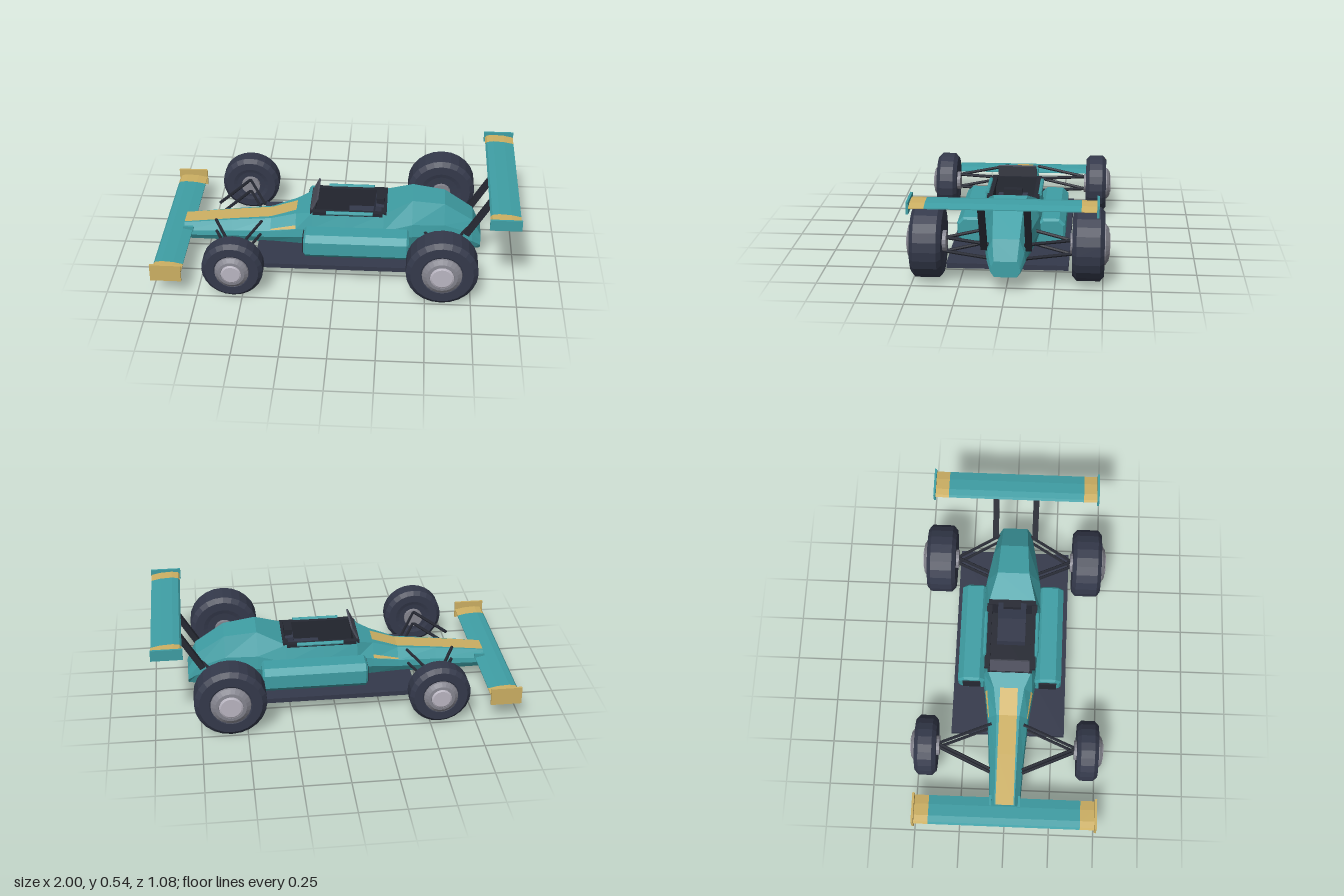
import * as THREE from 'three';

const mat = (name, color) => {
  const m = new THREE.MeshStandardMaterial({ color, flatShading: true });
  m.name = name;
  return m;
};

export function createModel() {
  const car = new THREE.Group();
  car.name = 'racingCar';
  const teal = mat('teal paint', 0x3f9fa5);
  const gold = mat('gold paint', 0xcdb063);
  const rubber = mat('dark rubber and floor', 0x34394b);
  const black = mat('black trim', 0x262933);
  const grey = mat('rim grey', 0x85858f);
  const silver = mat('hub silver', 0xbab6c2);
  const glass = mat('windscreen grey', 0x4d4f5c);

  const add = (name, geo, material, x = 0, y = 0, z = 0, parent = car) => {
    const m = new THREE.Mesh(geo, material);
    m.name = name;
    m.position.set(x, y, z);
    parent.add(m);
    return m;
  };
  const box = (name, w, h, d, material, x, y, z) =>
    add(name, new THREE.BoxGeometry(w, h, d), material, x, y, z);
  const rod = (name, a, b, r, material, sides = 8) => {
    const p = new THREE.Vector3(...a), q = new THREE.Vector3(...b);
    const dir = q.clone().sub(p);
    const m = add(name, new THREE.CylinderGeometry(r, r, dir.length(), sides), material);
    m.position.copy(p).add(q).multiplyScalar(0.5);
    m.quaternion.setFromUnitVectors(new THREE.Vector3(0, 1, 0), dir.normalize());
    return m;
  };
  // polygons given as corner lists, counter-clockwise from outside
  const polys = (list) => {
    const pos = [];
    for (const c of list)
      for (let i = 1; i < c.length - 1; i++) pos.push(...c[0], ...c[i], ...c[i + 1]);
    const g = new THREE.BufferGeometry();
    g.setAttribute('position', new THREE.Float32BufferAttribute(pos, 3));
    g.computeVertexNormals();
    return g;
  };

  // body shell lofted along x: [x, bottom, top, half width, top half width]
  const stations = [
    [-0.88, 0.085, 0.185, 0.085, 0.055], [-0.6, 0.09, 0.218, 0.1, 0.06],
    [-0.38, 0.095, 0.24, 0.118, 0.065], [-0.235, 0.1, 0.29, 0.138, 0.085],
    [-0.14, 0.1, 0.325, 0.155, 0.125], [0.05, 0.1, 0.33, 0.17, 0.135],
    [0.26, 0.1, 0.335, 0.175, 0.135], [0.42, 0.1, 0.402, 0.16, 0.09],
    [0.6, 0.1, 0.38, 0.128, 0.078], [0.76, 0.09, 0.275, 0.1, 0.07],
    [0.81, 0.085, 0.17, 0.078, 0.06],
  ];
  const rings = stations.map(([x, y0, y1, w, t]) => {
    const h = y1 - y0;
    const half = [[0.75 * w, y0], [w, y0 + 0.35 * h], [0.95 * w, y0 + 0.6 * h], [t, y1]];
    return [...half.map(([z, y]) => [x, y, z]), ...half.reverse().map(([z, y]) => [x, y, -z])];
  });
  const faces = [rings[0], [...rings.at(-1)].reverse()];
  for (let s = 0; s < rings.length - 1; s++)
    for (let i = 0; i < 8; i++) {
      if (i === 3 && (s === 4 || s === 5)) continue; // cockpit opening
      const j = (i + 1) % 8;
      faces.push([rings[s][i], rings[s + 1][i], rings[s + 1][j], rings[s][j]]);
    }
  add('bodyShell', polys(faces), teal);

  // painted nose stripe and side flashes, just above the shell
  const stripe = [];
  for (let s = 0; s < 3; s++) {
    const [xa, , ya] = stations[s], [xb, , yb] = stations[s + 1];
    stripe.push([[xa, ya + 0.003, 0.05], [xb, yb + 0.003, 0.05],
      [xb, yb + 0.003, -0.05], [xa, ya + 0.003, -0.05]]);
  }
  add('noseStripe', polys(stripe), gold);
  const onSide = (s, t) => rings[s][2].map((v, k) => v + (rings[s][3][k] - v) * t + (k ? 0.003 : 0));
  const flash = [onSide(2, 0.06), onSide(3, 0), onSide(3, 0.24), onSide(2, 0.16)];
  add('sideFlashLeft', polys([flash]), gold);
  add('sideFlashRight', polys([flash.map(([x, y, z]) => [x, y, -z]).reverse()]), gold);

  // cockpit: inward-facing tub, seat, rails and windscreen
  add('cockpitTub', new THREE.BoxGeometry(0.4, 0.15, 0.254).scale(1, 1, -1), black, 0.06, 0.256, 0);
  box('seatBase', 0.18, 0.06, 0.16, rubber, 0.15, 0.22, 0);
  box('seatBack', 0.045, 0.16, 0.16, rubber, 0.225, 0.27, 0).rotation.z = -0.15;
  box('headrest', 0.045, 0.045, 0.1, black, 0.24, 0.36, 0);
  box('cockpitRearRim', 0.03, 0.025, 0.27, black, 0.262, 0.333, 0);
  box('cockpitFrontRim', 0.03, 0.02, 0.25, black, -0.138, 0.326, 0);
  box('windscreen', 0.01, 0.09, 0.22, glass, -0.13, 0.367, 0).rotation.z = -0.45;
  for (const s of [1, -1]) {
    box('cockpitSideRim', 0.39, 0.02, 0.03, black, 0.06, 0.331, s * 0.128);
    rod('cockpitRail', [-0.06, 0.34, s * 0.146], [0.2, 0.34, s * 0.146], 0.011, teal);
  }

  box('floor', 1.13, 0.027, 0.64, rubber, 0.115, 0.092, 0);

  // chamfered side pods with a dark inlet at the front
  const podShape = (y0, y1, z0, z1, c) => new THREE.Shape([
    [z0, y0], [z1 - c, y0], [z1, y0 + c], [z1, y1 - c], [z1 - c, y1], [z0 + c, y1], [z0, y1 - c],
  ].map(([z, y]) => new THREE.Vector2(z, y)));
  for (const s of [1, -1]) {
    const geo = new THREE.ExtrudeGeometry(podShape(0.135, 0.252, -0.065, 0.065, 0.025),
      { depth: 0.56, bevelThickness: 0.012, bevelSize: 0.012, bevelSegments: 1 });
    const pod = add('sidePod', geo, teal, s > 0 ? 0.38 + 0.013 : -0.17, 0, s * 0.216);
    // extrusion axis turned onto x, chamfered side outward
    pod.rotation.y = s > 0 ? -Math.PI / 2 : Math.PI / 2;
    if (s > 0) pod.position.x = 0.393;
    box('podInlet', 0.008, 0.085, 0.1, black, -0.183, 0.193, s * 0.216);
  }

  // wings: faceted aerofoil in painted sections, with end plates
  const wing = (name, x, y, span, tip, plateH, plateMat) => {
    const foil = new THREE.Shape([[-0.08, 0], [-0.055, -0.013], [0.02, -0.017], [0.083, -0.002],
      [0.083, 0.003], [0.03, 0.014], [-0.035, 0.018], [-0.07, 0.012]]
      .map(([a, b]) => new THREE.Vector2(a, b)));
    const section = (part, z0, z1, m) => add(name + part,
      new THREE.ExtrudeGeometry(foil, { depth: z1 - z0, bevelEnabled: false }), m, x, y, z0);
    section('Plane', -tip, tip, teal);
    section('LeftTip', tip, span, gold);
    section('RightTip', -span, -tip, gold);
    for (const s of [1, -1])
      box(name + 'EndPlate', 0.17, plateH, 0.012, plateMat, x, y + 0.001, s * span);
  };
  wing('frontWing', -0.915, 0.149, 0.505, 0.42, 0.1, gold);
  wing('rearWing', 0.911, 0.509, 0.47, 0.388, 0.062, teal);

  for (const s of [1, -1]) {
    const strut = box('rearWingStrut', 0.032, 0.33, 0.034, black, 0.81, 0.355, s * 0.116);
    strut.rotation.z = -0.53;
    box('frontWingMount', 0.06, 0.03, 0.012, teal, -0.855, 0.16, s * 0.08);
  }

  // wheels: tyre, stepped rim, bright hub and inner bearing
  const lathe = (pts) => new THREE.LatheGeometry(pts.map(([r, y]) => new THREE.Vector2(r, y)), 24);
  const wheel = (name, x, y, z, R, hw, s) => {
    const g = new THREE.Group();
    g.name = name;
    g.position.set(x, y, s * z);
    g.rotation.x = s * Math.PI / 2;
    car.add(g);
    add('tyre', lathe([[0, -hw + 0.01], [0.5 * R, -hw + 0.005], [0.62 * R, -hw], [0.87 * R, -hw],
      [R, -hw + 0.022], [R, hw - 0.022], [0.87 * R, hw], [0.6 * R, hw], [0.5 * R, hw - 0.01],
      [0, hw - 0.01]]), rubber, 0, 0, 0, g);
    add('rim', lathe([[0.56 * R, hw - 0.005], [0.55 * R, hw + 0.006], [0.43 * R, hw + 0.022],
      [0.34 * R, hw + 0.024], [0.3 * R, hw + 0.01]]), grey, 0, 0, 0, g);
    add('hub', lathe([[0.33 * R, hw], [0.33 * R, hw + 0.024], [0.28 * R, hw + 0.029],
      [0, hw + 0.029]]), silver, 0, 0, 0, g);
    add('bearing', new THREE.CylinderGeometry(0.055, 0.055, 0.02, 16), grey, 0, -hw - 0.003, 0, g);
  };
  // wishbones meeting at each wheel, at two heights
  const wishbones = (x, xs, zEnd, s) => {
    for (const [yIn, yOut] of [[0.158, 0.138], [0.234, 0.214]])
      for (const xi of xs)
        rod('wishbone', [xi, yIn, s * 0.09], [x, yOut, s * zEnd], 0.009, black, 6);
  };
  for (const s of [1, -1]) {
    wheel('frontWheel', -0.55, 0.175, 0.45, 0.168, 0.06, s);
    wheel('rearWheel', 0.588, 0.197, 0.423, 0.196, 0.083, s);
    wishbones(-0.55, [-0.69, -0.43], 0.385, s);
    wishbones(0.588, [0.47, 0.73], 0.335, s);
  }
  return car;
}
